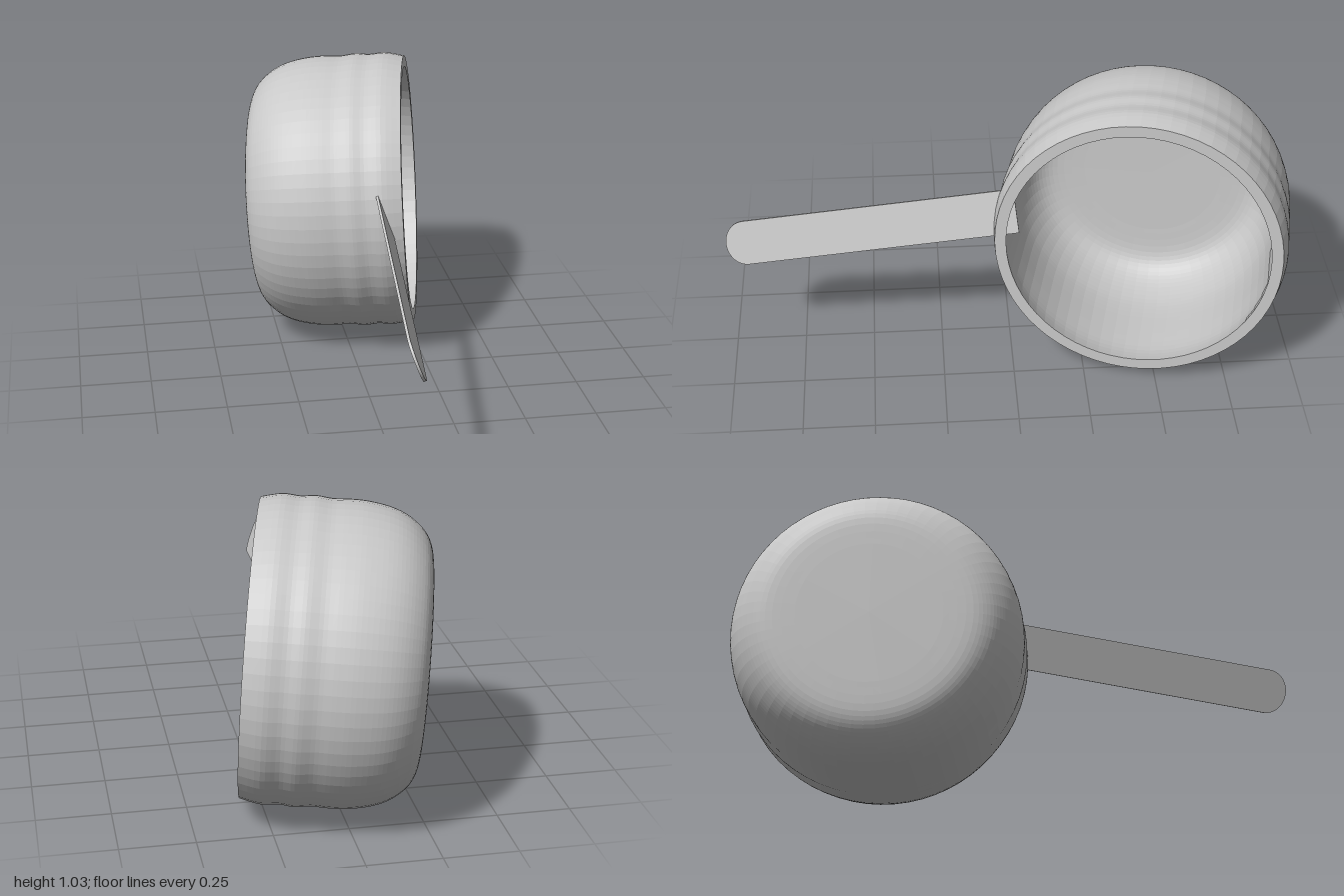
import * as THREE from 'three';

const steel = new THREE.MeshStandardMaterial({ color: 0xc8c8c8 });
steel.name = 'light grey';

const vec = (x, y, z) => new THREE.Vector3(x, y, z);

// Facet a geometry by giving every triangle its own normals
function faceted(geometry) {
  const g = geometry.index ? geometry.toNonIndexed() : geometry;
  g.computeVertexNormals();
  return g;
}

// Smooth a [radius, height] profile through its control points
function smoothProfile(points, divisions) {
  const curve = new THREE.SplineCurve(points.map(([r, y]) => new THREE.Vector2(r, y)));
  return curve.getPoints(divisions);
}

export function createModel() {
  const model = new THREE.Group();

  // Pan: a thick-walled bowl, rim at local y = 0, tipped so it opens to the side
  const outside = smoothProfile([
    [0.25, -0.577], [0.35, -0.573], [0.405, -0.555], [0.445, -0.52], [0.475, -0.475],
    [0.495, -0.42], [0.507, -0.35], [0.509, -0.29], [0.507, -0.235], [0.513, -0.18],
    [0.508, -0.13], [0.512, -0.07], [0.497, 0],
  ], 48);
  const inside = smoothProfile([
    [0.457, 0], [0.468, -0.07], [0.469, -0.18], [0.469, -0.3], [0.462, -0.38],
    [0.44, -0.455], [0.405, -0.505], [0.35, -0.53], [0.25, -0.537],
  ], 32);
  const profile = [
    new THREE.Vector2(0, -0.578), ...outside, ...inside, new THREE.Vector2(0, -0.538),
  ];
  const pan = new THREE.Mesh(faceted(new THREE.LatheGeometry(profile, 64)), steel);
  pan.name = 'pan';
  const axis = vec(0.973, 0.062, 0.224).normalize();
  pan.quaternion.setFromUnitVectors(vec(0, 1, 0), axis);
  pan.position.set(0.265, 0.535, -0.422);
  model.add(pan);

  // Handle: a thin flat bar with a rounded end, piercing the pan wall
  const length = 1.03, half = 0.079, tip = 0.07, thick = 0.009;
  const outline = new THREE.Shape();
  outline.moveTo(0, -half);
  outline.lineTo(length - tip, -half);
  outline.absellipse(length - tip, 0, tip, half, -Math.PI / 2, Math.PI / 2, false);
  outline.lineTo(0, half);
  outline.closePath();
  const bar = new THREE.ExtrudeGeometry(outline, {
    depth: thick, bevelEnabled: false, curveSegments: 16,
  });
  bar.translate(0, 0, -thick / 2);
  const handle = new THREE.Mesh(faceted(bar), steel);
  handle.name = 'handle';
  const along = vec(-0.0655, -0.145, 1).normalize();
  const across = vec(0.058, -0.147, -0.0175).normalize();
  const facing = along.clone().cross(across).normalize();
  across.crossVectors(facing, along);
  handle.quaternion.setFromRotationMatrix(new THREE.Matrix4().makeBasis(along, across, facing));
  handle.position.set(0.0935, 0.608, -0.017);
  model.add(handle);

  return model;
}
